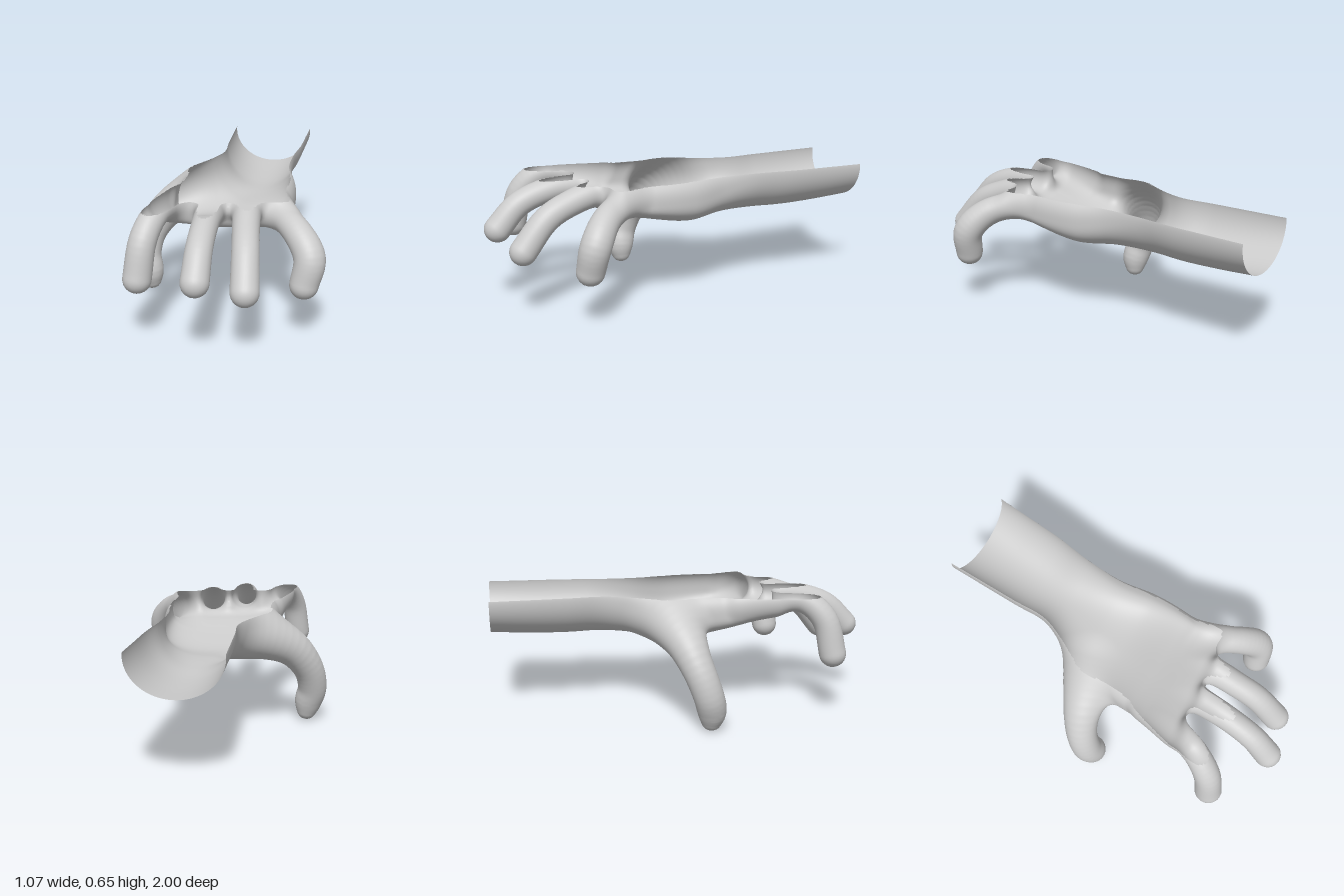
import * as THREE from 'three';
import { mergeVertices } from 'three/addons/utils/BufferGeometryUtils.js';

const TOP = 0.65, BACK = -1, CELL = 0.0135;

// A smooth curve through rows of up to three numbers
const curveOf = rows => new THREE.CatmullRomCurve3(
  rows.map(([a, b = 0, c = 0]) => new THREE.Vector3(a, b, c)), false, 'catmullrom');

// Forearm and palm from z = -1 to 0.6 in steps of 0.2: right edge, left edge, underside height
const BODY = curveOf([
  [-0.1, 0.365, 0.436], [-0.1, 0.35, 0.422], [-0.1, 0.335, 0.416], [-0.1, 0.308, 0.421],
  [-0.185, 0.308, 0.42], [-0.25, 0.347, 0.408], [-0.268, 0.347, 0.447], [-0.262, 0.32, 0.502],
  [-0.25, 0.3, 0.54],
]);

// Digit centre lines: x, y, z, radius
const DIGITS = {
  thumb: [[-0.1, 0.53, -0.12, 0.1], [-0.22, 0.505, -0.08, 0.105], [-0.35, 0.435, -0.02, 0.096],
    [-0.435, 0.32, 0.03, 0.083], [-0.461, 0.2, 0.072, 0.079], [-0.442, 0.115, 0.094, 0.076],
    [-0.432, 0.055, 0.095, 0.055]],
  indexFinger: [[-0.2, 0.61, 0.3, 0.068], [-0.245, 0.625, 0.46, 0.07], [-0.285, 0.63, 0.61, 0.065],
    [-0.328, 0.53, 0.72, 0.068], [-0.352, 0.35, 0.762, 0.071]],
  middleFinger: [[-0.04, 0.605, 0.3, 0.068], [-0.04, 0.61, 0.48, 0.07], [-0.04, 0.599, 0.65, 0.065],
    [-0.042, 0.54, 0.815, 0.065], [-0.044, 0.422, 0.931, 0.069]],
  ringFinger: [[0.12, 0.605, 0.3, 0.068], [0.138, 0.608, 0.45, 0.07], [0.15, 0.57, 0.6, 0.067],
    [0.165, 0.502, 0.74, 0.067], [0.177, 0.358, 0.866, 0.07]],
  littleFinger: [[0.23, 0.585, 0.28, 0.064], [0.305, 0.572, 0.4, 0.067], [0.395, 0.525, 0.515, 0.073],
    [0.457, 0.43, 0.59, 0.078], [0.435, 0.3, 0.612, 0.072]],
};

const lerp = THREE.MathUtils.lerp, smoothstep = THREE.MathUtils.smoothstep;
const smoothMin = (a, b, k) => {
  const h = Math.max(k - Math.abs(a - b), 0) / k;
  return Math.min(a, b) - h * h * k / 4;
};

// Sample a digit's curve into tapered segments
function segmentsOf(points) {
  const path = curveOf(points.map(p => p.slice(0, 3))), radius = curveOf(points.map(p => [p[3]]));
  return Array.from({ length: 25 }, (_, i) =>
    [...path.getPoint(i / 24).toArray(), radius.getPoint(i / 24).x]);
}

function digitDistance(s, x, y, z) {
  let best = 9;
  for (let i = 0; i < s.length - 1; i++) {
    const a = s[i], b = s[i + 1];
    const dx = b[0] - a[0], dy = b[1] - a[1], dz = b[2] - a[2];
    const px = x - a[0], py = y - a[1], pz = z - a[2];
    let t = (px * dx + py * dy + pz * dz) / (dx * dx + dy * dy + dz * dz);
    t = Math.min(1, Math.max(0, t));
    const qx = px - dx * t, qy = py - dy * t, qz = pz - dz * t;
    best = Math.min(best, Math.sqrt(qx * qx + qy * qy + qz * qz) - lerp(a[3], b[3], t));
  }
  return best;
}

// Rounded cross-section along z, widest below the cut at the palm, closed by a soft slanted front
const section = new THREE.Vector3();
function bodyDistance(x, y, z) {
  BODY.getPoint(THREE.MathUtils.clamp((z + 1) / 1.6, 0, 1), section);
  const palm = smoothstep(z, -0.5, 0), n = 2 + 0.8 * palm;
  const half = (section.y - section.x) / 2;
  const middle = Math.max(TOP - lerp(0.015, 0.1, palm), section.z + 0.08);
  const depth = middle - section.z;
  const u = Math.abs(x - (section.x + section.y) / 2) / half;
  const v = Math.abs(y - middle) / (y > middle ? 0.165 : depth);
  const side = (Math.pow(Math.pow(u, n) + Math.pow(v, n), 1 / n) - 1) * Math.min(depth, half);
  return -smoothMin(-side, -(z + 0.12 * x - 0.46), 0.04);
}

export function createModel() {
  const group = new THREE.Group();
  group.name = 'openHand';
  const names = Object.keys(DIGITS), digits = names.map(n => segmentsOf(DIGITS[n]));

  const field = (x, y, z) => {
    let d = bodyDistance(x, y, z);
    digits.forEach((s, i) => { d = smoothMin(d, digitDistance(s, x, y, z), i === 0 ? 0.11 : 0.06); });
    return d;
  };
  const partAt = (x, y, z) => {
    let best = bodyDistance(x, y, z), name = z < -0.35 ? 'forearm' : 'palm';
    digits.forEach((s, i) => {
      const d = digitDistance(s, x, y, z);
      if (d < best) { best = d; name = names[i]; }
    });
    return name;
  };

  // Sample the blended form on a grid
  const low = [-0.6, -0.04, BACK - 2.5 * CELL], high = [0.6, TOP + 2 * CELL, 1.05];
  const size = low.map((v, a) => Math.ceil((high[a] - v) / CELL) + 1);
  const step = [1, size[0], size[0] * size[1]];
  const values = new Float32Array(step[2] * size[2]);
  const at = (a, i) => low[a] + i * CELL;
  for (let k = 0, o = 0; k < size[2]; k++)
    for (let j = 0; j < size[1]; j++)
      for (let i = 0; i < size[0]; i++) values[o++] = field(at(0, i), at(1, j), at(2, k));

  // One vertex per cell that the surface crosses
  const positions = [], normals = [], owners = [], beyond = [];
  const cellVertex = new Int32Array(values.length).fill(-1);
  const eachCell = fn => {
    for (let k = 0; k < size[2] - 1; k++)
      for (let j = 0; j < size[1] - 1; j++)
        for (let i = 0; i < size[0] - 1; i++) fn([i, j, k], i + j * step[1] + k * step[2]);
  };
  eachCell((cell, o) => {
    const sum = [0, 0, 0];
    let count = 0;
    for (let c = 0; c < 8; c++) for (let a = 0; a < 3; a++) {
      if (c >> a & 1) continue;
      const bits = [c & 1, c >> 1 & 1, c >> 2 & 1];
      const p = o + bits[0] + bits[1] * step[1] + bits[2] * step[2];
      const v0 = values[p], v1 = values[p + step[a]];
      if ((v0 < 0) === (v1 < 0)) continue;
      bits[a] = v0 / (v0 - v1);
      for (let b = 0; b < 3; b++) sum[b] += bits[b];
      count++;
    }
    if (!count) return;
    const [x, y, z] = sum.map((s, a) => at(a, cell[a] + s / count));
    const e = 0.01;
    const normal = new THREE.Vector3(
      field(x + e, y, z) - field(x - e, y, z),
      field(x, y + e, z) - field(x, y - e, z),
      field(x, y, z + e) - field(x, y, z - e)).normalize();
    cellVertex[o] = owners.length;
    owners.push(partAt(x, y, z));
    beyond.push(y >= TOP || z <= BACK);
    positions.push(x, Math.min(y, TOP), Math.max(z, BACK));
    normals.push(normal.x, normal.y, normal.z);
  });

  // Join the vertices around every crossed edge, leaving the top and wrist end open
  const faces = {};
  eachCell((cell, o) => {
    for (let a = 0; a < 3; a++) {
      const b = (a + 1) % 3, c = (a + 2) % 3;
      if (!cell[b] || !cell[c] || (values[o] < 0) === (values[o + step[a]] < 0)) continue;
      const q = [o - step[b] - step[c], o - step[c], o, o - step[b]].map(n => cellVertex[n]);
      if (q.some(n => n < 0) || q.every(n => beyond[n])) continue;
      if (values[o] >= 0) q.reverse();
      (faces[owners[q[0]]] ??= []).push(q[0], q[1], q[2], q[0], q[2], q[3]);
    }
  });

  const material = new THREE.MeshStandardMaterial({ color: 0xcccccc, side: THREE.DoubleSide });
  for (const name of Object.keys(faces)) {
    const geometry = new THREE.BufferGeometry();
    geometry.setAttribute('position', new THREE.Float32BufferAttribute(positions, 3));
    geometry.setAttribute('normal', new THREE.Float32BufferAttribute(normals, 3));
    geometry.setIndex(faces[name]);
    const mesh = new THREE.Mesh(mergeVertices(geometry.toNonIndexed(), 1e-5), material);
    mesh.name = name;
    group.add(mesh);
  }
  return group;
}
